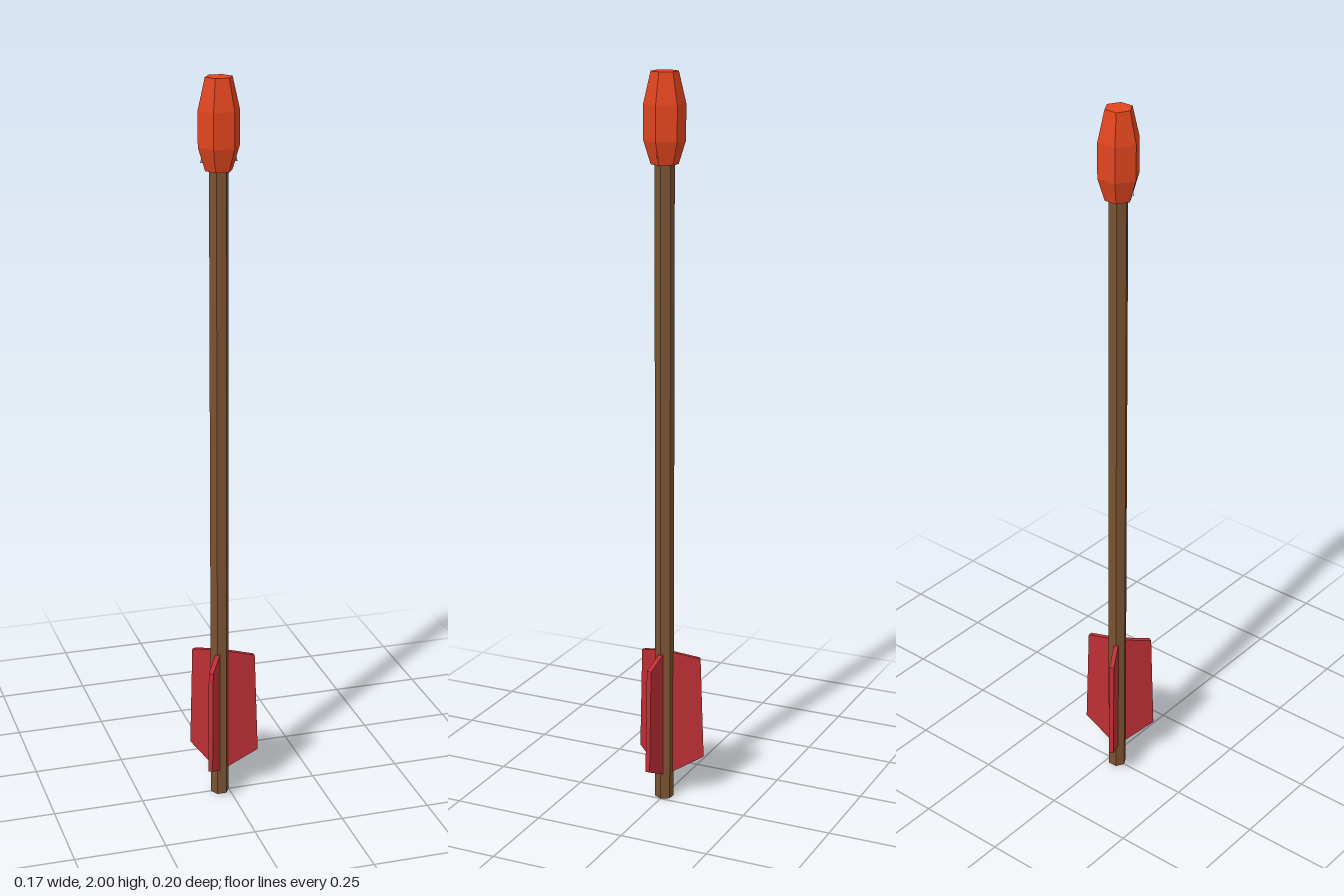
import * as THREE from 'three';

function flatMaterial(name, color) {
  const m = new THREE.MeshStandardMaterial({ color, flatShading: true });
  m.name = name;
  return m;
}

export function createModel() {
  const wood = flatMaterial('brown wood', 0x7a5230);
  const feather = flatMaterial('red feather', 0xbd2f35);
  const wrap = flatMaterial('orange wrap', 0xe0451f);
  const metal = flatMaterial('grey metal', 0x8f9aa5);

  const arrow = new THREE.Group();
  arrow.name = 'arrow';
  // The three fletchings are uneven about the shaft, so the axis sits off centre
  arrow.position.x = -0.026;

  const add = (name, geometry, material) => {
    const mesh = new THREE.Mesh(geometry, material);
    mesh.name = name;
    arrow.add(mesh);
    return mesh;
  };

  // Six-sided shaft with its corners on the x axis
  const shaft = new THREE.CylinderGeometry(0.026, 0.026, 1.8, 6);
  shaft.rotateY(Math.PI / 6).translate(0, 0.9, 0);
  add('shaft', shaft, wood);

  // Barrel-shaped wrapped head
  const profile = [[0, 1.764], [0.036, 1.764], [0.055, 1.825], [0.055, 1.918], [0.036, 2], [0, 2]];
  const head = new THREE.LatheGeometry(profile.map(([r, y]) => new THREE.Vector2(r, y)), 6);
  head.rotateY(Math.PI / 6);
  add('wrappedHead', head, wrap);

  // Flat metal point inside the wrap, only its barbs and tip show
  const point = new THREE.ConeGeometry(0.049, 0.215, 4);
  point.scale(1, 1, 0.2).translate(0, 1.8925, 0);
  add('metalPoint', point, metal);

  // Three fletchings around the shaft
  const outline = [[0.015, 0.07], [0.026, 0.075], [0.109, 0.115], [0.099, 0.406], [0.026, 0.427], [0.015, 0.43]];
  const fin = new THREE.ExtrudeGeometry(
    new THREE.Shape(outline.map(([x, y]) => new THREE.Vector2(x, y))),
    { depth: 0.0125, bevelEnabled: false }
  );
  fin.translate(0, 0, -0.00625);
  for (let i = 0; i < 3; i++) {
    add('fletching', fin, feather).rotation.y = (i * Math.PI * 2) / 3;
  }

  const model = new THREE.Group();
  model.name = 'fireArrow';
  model.add(arrow);
  return model;
}
